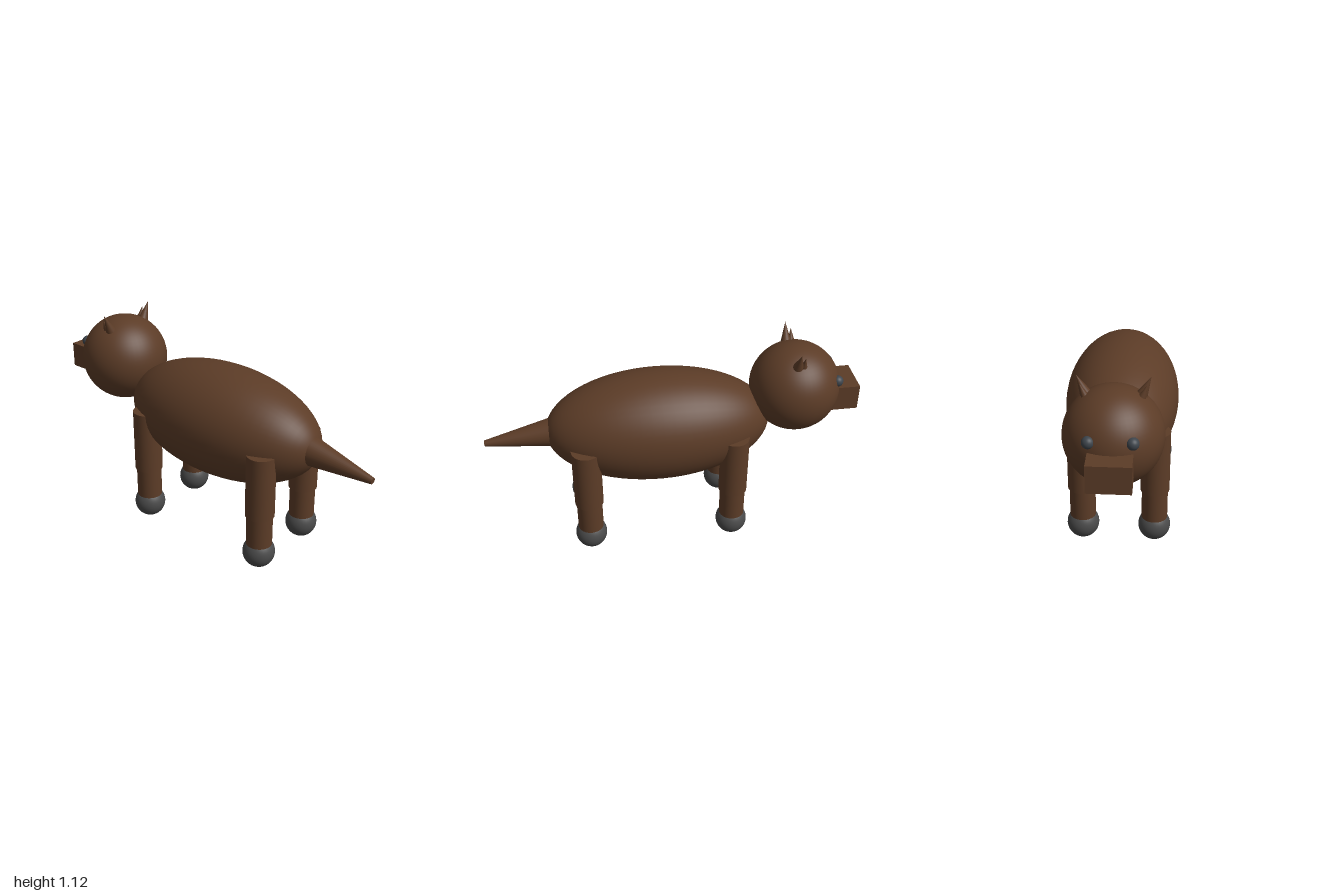
import * as THREE from 'three';

const mat = (name, color) => {
  const m = new THREE.MeshStandardMaterial({ color });
  m.name = name;
  return m;
};

export function createModel() {
  const model = new THREE.Group();
  model.name = 'animal';
  const fur = mat('brownFur', 0x5c3c27);
  const hoofGrey = mat('hoofGrey', 0x4a4a4a);
  const eyeGrey = mat('eyeGrey', 0x3d444b);

  const add = (name, geometry, material, x, y, z, parent = model) => {
    const mesh = new THREE.Mesh(geometry, material);
    mesh.name = name;
    mesh.position.set(x, y, z);
    parent.add(mesh);
    return mesh;
  };

  // Tapered round part running from point a to point b
  const taper = (name, a, b, rA, rB) => {
    const from = new THREE.Vector3(...a);
    const dir = new THREE.Vector3(...b).sub(from);
    const mid = from.clone().addScaledVector(dir, 0.5);
    const mesh = add(name, new THREE.CylinderGeometry(rB, rA, dir.length(), 32), fur, mid.x, mid.y, mid.z);
    mesh.quaternion.setFromUnitVectors(new THREE.Vector3(0, 1, 0), dir.normalize());
    return mesh;
  };

  // Body: long ellipsoid
  const body = new THREE.SphereGeometry(1, 48, 32).rotateX(Math.PI / 2).scale(0.305, 0.304, 0.605);
  add('body', body, fur, 0, 0.66, 0.07);

  // Head and snout, pointing to the back
  add('head', new THREE.SphereGeometry(0.242, 48, 32), fur, 0, 0.835, -0.668);
  add('snout', new THREE.BoxGeometry(0.208, 0.14, 0.24), fur, 0, 0.79, -0.88);

  // Tail
  taper('tail', [0, 0.66, 0.64], [0, 0.62, 1], 0.077, 0.017);

  for (const s of [-1, 1]) {
    // Eyes
    add('eye', new THREE.SphereGeometry(0.03, 24, 16), eyeGrey, s * 0.1, 0.905, -0.872);

    // Ears: a tall outer cone with a smaller one beside it
    taper('ear', [s * 0.115, 1.0, -0.64], [s * 0.172, 1.125, -0.64], 0.037, 0);
    taper('innerEar', [s * 0.118, 1.0, -0.668], [s * 0.155, 1.095, -0.668], 0.028, 0);

    // Legs
    for (const [name, z] of [['frontLeg', -0.315], ['hindLeg', 0.475]]) {
      const leg = new THREE.Group();
      leg.name = name;
      leg.position.set(s * 0.192, 0, z);
      model.add(leg);
      add('upperLeg', new THREE.CylinderGeometry(0.077, 0.077, 0.35, 32), fur, 0, 0.485, 0, leg);
      add('lowerLeg', new THREE.CylinderGeometry(0.069, 0.069, 0.25, 32), fur, 0, 0.225, 0, leg);
      add('hoof', new THREE.SphereGeometry(0.086, 32, 24), hoofGrey, 0, 0.088, 0, leg);
    }
  }
  return model;
}
